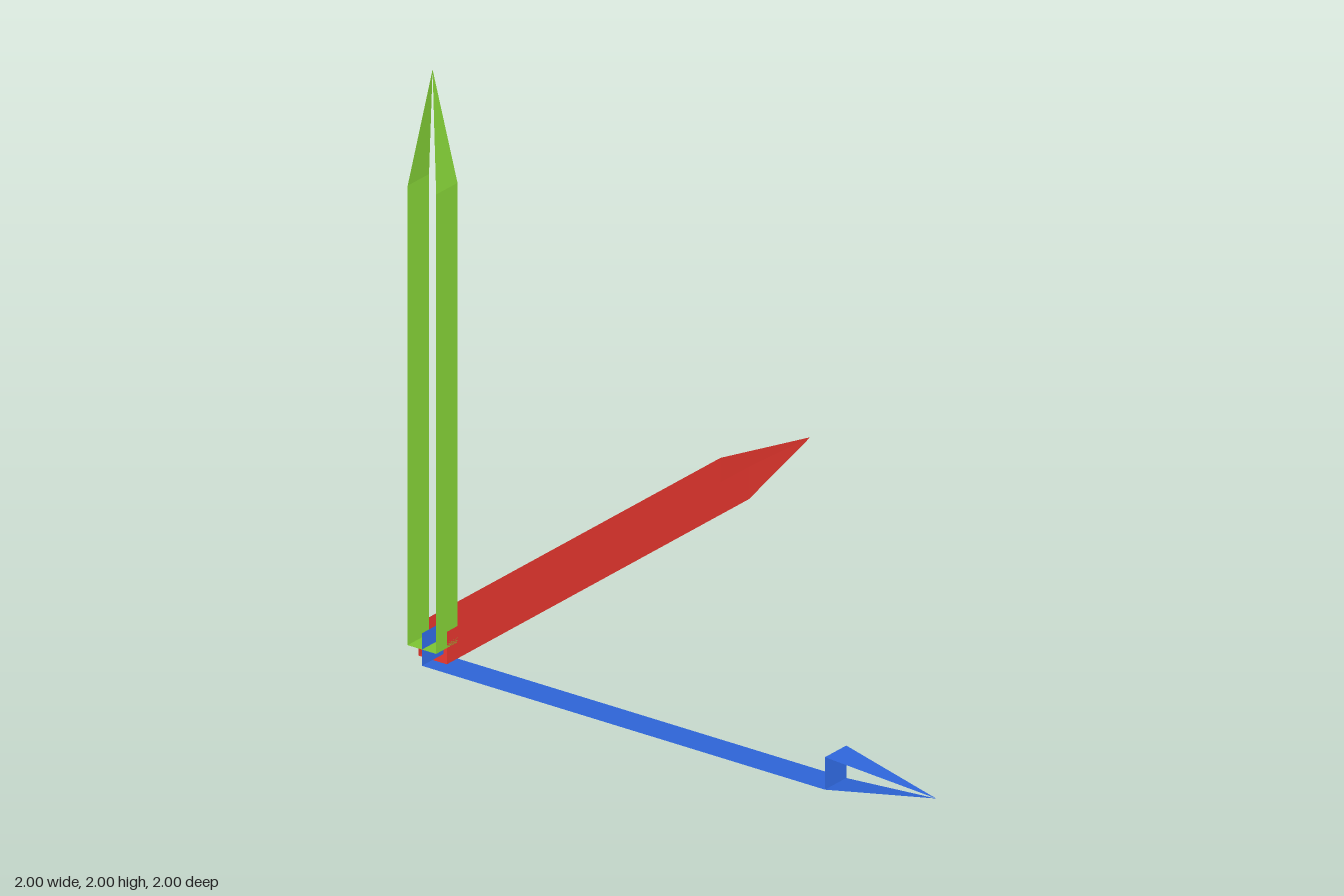
import * as THREE from 'three';

const HALF = 0.055;          // half thickness of every arrow
const SHAFT = 1.556;         // shaft length
const TIP = 0.389;           // tip length
const ORIGIN = [-0.945, HALF, -0.945];

// Open shaft: only the front, back and bottom sheets of a box
function addShaft(group, name, material, min, max) {
  const [w, h, d] = max.map((v, i) => v - min[i]);
  const [x, y, z] = max.map((v, i) => (v + min[i]) / 2);
  const sheets = [
    ['Front', w, h, [x, y, max[2]], [0, 0, 0]],
    ['Back', w, h, [x, y, min[2]], [0, Math.PI, 0]],
    ['Bottom', w, d, [x, min[1], z], [Math.PI / 2, 0, 0]],
  ];
  for (const [side, a, b, position, rotation] of sheets) {
    const sheet = new THREE.Mesh(new THREE.PlaneGeometry(a, b), material);
    sheet.name = name + 'Shaft' + side;
    sheet.position.set(...position);
    sheet.rotation.set(...rotation);
    group.add(sheet);
  }
}

// Open tip: two opposite triangles meeting at the point, aimed up +y
function tipGeometry() {
  const g = new THREE.BufferGeometry();
  g.setAttribute('position', new THREE.Float32BufferAttribute([
    -HALF, 0, HALF, HALF, 0, HALF, 0, TIP, 0,
    HALF, 0, -HALF, -HALF, 0, -HALF, 0, TIP, 0,
  ], 3));
  g.computeVertexNormals();
  return g;
}

export function createModel() {
  const model = new THREE.Group();
  model.name = 'axisArrows';

  // name, colour, axis index, rotation that aims the tip along the axis
  const arrows = [
    ['redArrow', 0xd6322a, 0, [0, 0, -Math.PI / 2]],
    ['greenArrow', 0x7cc433, 1, [0, 0, 0]],
    ['blueArrow', 0x2d64d6, 2, [Math.PI / 2, 0, 0]],
  ];

  for (const [name, color, axis, rotation] of arrows) {
    const arrow = new THREE.Group();
    arrow.name = name;
    arrow.position.set(...ORIGIN);
    const material = new THREE.MeshStandardMaterial({ color, side: THREE.DoubleSide });

    // Shaft runs from the shared origin along its axis
    const min = [-HALF, -HALF, -HALF];
    const max = [HALF, HALF, HALF];
    min[axis] = 0;
    max[axis] = SHAFT;
    addShaft(arrow, name, material, min, max);

    // Pointed tip at the end of the shaft
    const tip = new THREE.Mesh(tipGeometry(), material);
    tip.name = name + 'Tip';
    tip.rotation.set(...rotation);
    tip.position.setComponent(axis, SHAFT);
    arrow.add(tip);

    model.add(arrow);
  }
  return model;
}
